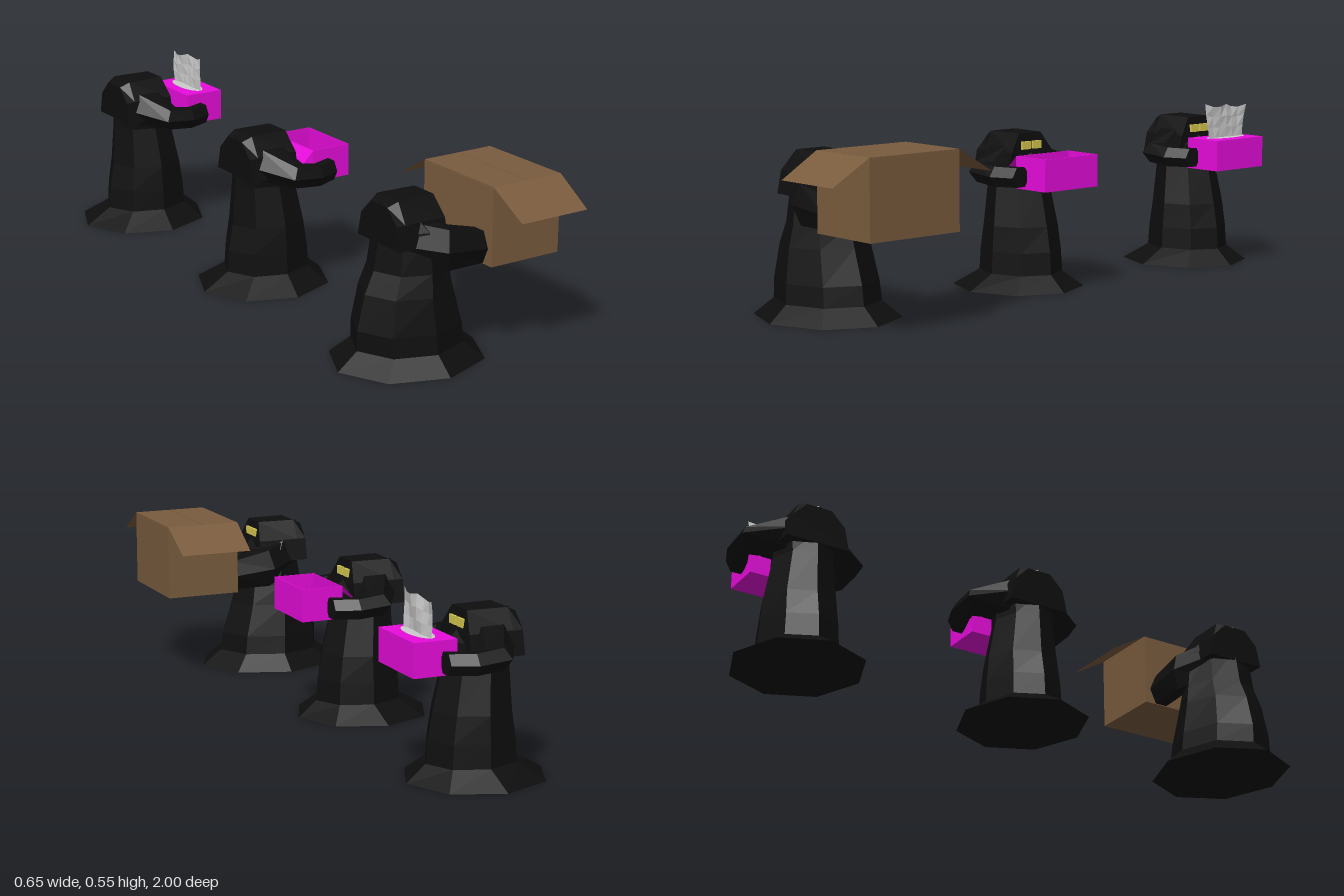
import * as THREE from 'three';

const paint = (color, side = THREE.FrontSide) =>
  new THREE.MeshStandardMaterial({ color, side, flatShading: true });
const CLOTH = paint(0x0e0e0e, THREE.DoubleSide);
const CARD = paint(0x7a5c3e, THREE.DoubleSide);
const PINK = paint(0xe80cdc, THREE.DoubleSide);
const EYE = paint(0xd8c850);
const TISSUE = paint(0xcccccc, THREE.DoubleSide);

function add(parent, name, geometry, material, x = 0, y = 0, z = 0) {
  const mesh = new THREE.Mesh(geometry, material);
  mesh.name = name;
  mesh.position.set(x, y, z);
  parent.add(mesh);
  return mesh;
}

// Skin a list of equal-length rings (arrays of [x, y, z]) and cap both ends
function loft(rings) {
  const n = rings[0].length;
  const pos = rings.flat(2);
  const idx = [];
  for (let r = 0; r < rings.length - 1; r++) {
    for (let i = 0; i < n; i++) {
      const a = r * n + i, b = r * n + (i + 1) % n;
      idx.push(a, a + n, b, b, a + n, b + n);
    }
  }
  const last = (rings.length - 1) * n;
  for (let i = 1; i < n - 1; i++) {
    idx.push(0, i, i + 1, last, last + i + 1, last + i);
  }
  const g = new THREE.BufferGeometry();
  g.setAttribute('position', new THREE.Float32BufferAttribute(pos, 3));
  g.setIndex(idx);
  const flat = g.toNonIndexed();
  flat.computeVertexNormals();
  return flat;
}

// Horizontal octagon between two x limits
function octagon([y, x0, x1, rz]) {
  return Array.from({ length: 8 }, (_, i) => {
    const a = (i * Math.PI) / 4;
    return [(x0 + x1) / 2 + Math.cos(a) * (x1 - x0) / 2, y, Math.sin(a) * rz];
  });
}

// Upright hexagon turned by yaw: its normal runs from +z (0) to +x (90 degrees)
function hexagon([x, y, z, w, h, yaw], side) {
  return Array.from({ length: 6 }, (_, i) => {
    const a = (-i * side * Math.PI) / 3;
    const u = Math.cos(a) * w;
    return [x + u * Math.cos(yaw), y + Math.sin(a) * h, side * (z - u * Math.sin(yaw))];
  });
}

// Thin quad from four corners
const quad = (a, b, c, d) => {
  const g = new THREE.BufferGeometry();
  g.setAttribute('position', new THREE.Float32BufferAttribute([a, b, c, a, c, d].flat(), 3));
  g.computeVertexNormals();
  return g;
};

function makeFigure(name, z, robe, arm) {
  const figure = new THREE.Group();
  figure.name = name;
  figure.position.z = z;
  add(figure, 'robe', loft(robe.map(octagon)), CLOTH);

  // Hood: arched section swept from the back of the head to the face
  const hood = [[-0.195, 0.475, 0.04], [-0.165, 0.49, 0.05], [-0.04, 0.49, 0.045]].map(([x, top, w], i) => {
    const lean = i === 2 ? 0.012 : 0;
    return [[x + lean, 0.36, 0.1], [x + lean, 0.43, 0.085], [x, top, w],
      [x, top, -w], [x + lean, 0.43, -0.085], [x + lean, 0.36, -0.1]];
  });
  add(figure, 'hood', loft(hood), CLOTH);
  for (const side of [1, -1]) {
    add(figure, 'sleeve', loft(arm.map((s) => hexagon(s, side))), CLOTH);
    add(figure, 'eye', new THREE.BoxGeometry(0.008, 0.025, 0.036), EYE, -0.033, 0.452, side * 0.022);
  }
  return figure;
}

const WIDE_ROBE = [
  [0, -0.33, 0.15, 0.208], [0.05, -0.265, 0.085, 0.15], [0.11, -0.265, 0.077, 0.145],
  [0.215, -0.24, 0.043, 0.13], [0.28, -0.21, 0.025, 0.118], [0.4, -0.19, 0.0, 0.105],
  [0.43, -0.19, -0.035, 0.085], [0.48, -0.195, -0.045, 0.04],
];
const SLIM_ROBE = [
  [0, -0.31, 0.12, 0.2], [0.05, -0.225, 0.06, 0.122], [0.12, -0.22, 0.055, 0.118],
  [0.2, -0.205, 0.04, 0.112], [0.33, -0.195, 0.01, 0.092], [0.4, -0.19, -0.005, 0.1],
  [0.43, -0.19, -0.035, 0.085], [0.48, -0.195, -0.045, 0.04],
];
// Sleeve sections: x, y, z, half width, half height, yaw
const FORWARD_ARM = [
  [-0.1, 0.37, 0.06, 0.08, 0.07, 0.2], [-0.03, 0.345, 0.105, 0.05, 0.07, 1.0],
  [0.085, 0.33, 0.1, 0.042, 0.055, Math.PI / 2],
];
const BENT_ARM = [
  [-0.11, 0.4, 0.06, 0.075, 0.062, 0], [-0.065, 0.378, 0.165, 0.05, 0.037, 0.7],
  [0.0, 0.37, 0.163, 0.036, 0.036, 1.5], [0.07, 0.37, 0.135, 0.034, 0.035, Math.PI / 2],
];

// Closed carton with its two end flaps hanging open
function makeCarton() {
  const carton = new THREE.Group();
  carton.name = 'carton';
  const x0 = 0.083, x1 = 0.325, top = 0.517;
  add(carton, 'cartonBody', new THREE.BoxGeometry(x1 - x0, 0.233, 0.32), CARD, 0.204, 0.3965, 0);
  for (const side of [1, -1]) {
    add(carton, 'topFlap', new THREE.BoxGeometry(0.119, 0.004, 0.32), CARD, 0.204 + side * 0.0605, 0.515, 0);
    const z0 = side * 0.16, z1 = side * 0.284;
    add(carton, 'endFlap', quad([x0, top, z0], [x1, top, z0],
      [x1 - 0.004, 0.443, z1], [x0 + 0.004, 0.443, z1]), CARD);
  }
  return carton;
}

// Open tray with its lid folded back toward the figure
function makeTray() {
  const tray = new THREE.Group();
  tray.name = 'tray';
  const t = 0.003;
  add(tray, 'trayFloor', new THREE.BoxGeometry(0.133, t, 0.22), PINK, 0.0865, 0.331, 0);
  for (const s of [1, -1]) {
    add(tray, 'traySide', new THREE.BoxGeometry(0.133, 0.1, t), PINK, 0.0865, 0.38, s * 0.1085);
    add(tray, 'trayEnd', new THREE.BoxGeometry(t, 0.1, 0.22), PINK, 0.0865 + s * 0.065, 0.38, 0);
  }
  add(tray, 'trayLid', quad([0.021, 0.43, 0.11], [0.021, 0.43, -0.11],
    [-0.045, 0.365, -0.11], [-0.045, 0.365, 0.11]), PINK);
  return tray;
}

// Tissue box with an oval opening and one sheet standing up
function makeTissueBox() {
  const box = new THREE.Group();
  box.name = 'tissueBox';
  add(box, 'tissueCase', new THREE.BoxGeometry(0.133, 0.1, 0.22), PINK, 0.0885, 0.38, 0);
  const oval = add(box, 'opening', new THREE.CircleGeometry(1, 20), TISSUE, 0.0885, 0.4315, 0);
  oval.rotation.x = -Math.PI / 2;
  oval.scale.set(0.033, 0.085, 1);

  const sheet = new THREE.PlaneGeometry(1, 1, 6, 3);
  const p = sheet.attributes.position;
  for (let i = 0; i < p.count; i++) {
    const u = p.getX(i) * 2, v = p.getY(i) + 0.5;
    const peak = 0.105 + 0.006 * Math.cos(u * 6) - 0.005 * u;
    p.setXYZ(i, 0.09 + 0.007 * Math.sin(u * 4 + v * 3) * (0.4 + 0.6 * v),
      0.43 + v * peak, -u * (0.082 + 0.012 * v));
  }
  sheet.computeVertexNormals();
  add(box, 'tissue', sheet, TISSUE);
  return box;
}

export function createModel() {
  const model = new THREE.Group();
  model.name = 'robedCarriers';
  const cartonCarrier = makeFigure('cartonCarrier', 0.717, WIDE_ROBE, FORWARD_ARM);
  cartonCarrier.add(makeCarton());
  const trayCarrier = makeFigure('trayCarrier', -0.038, SLIM_ROBE, BENT_ARM);
  trayCarrier.add(makeTray());
  const tissueCarrier = makeFigure('tissueCarrier', -0.798, SLIM_ROBE, BENT_ARM);
  tissueCarrier.add(makeTissueBox());
  model.add(cartonCarrier, trayCarrier, tissueCarrier);
  return model;
}
